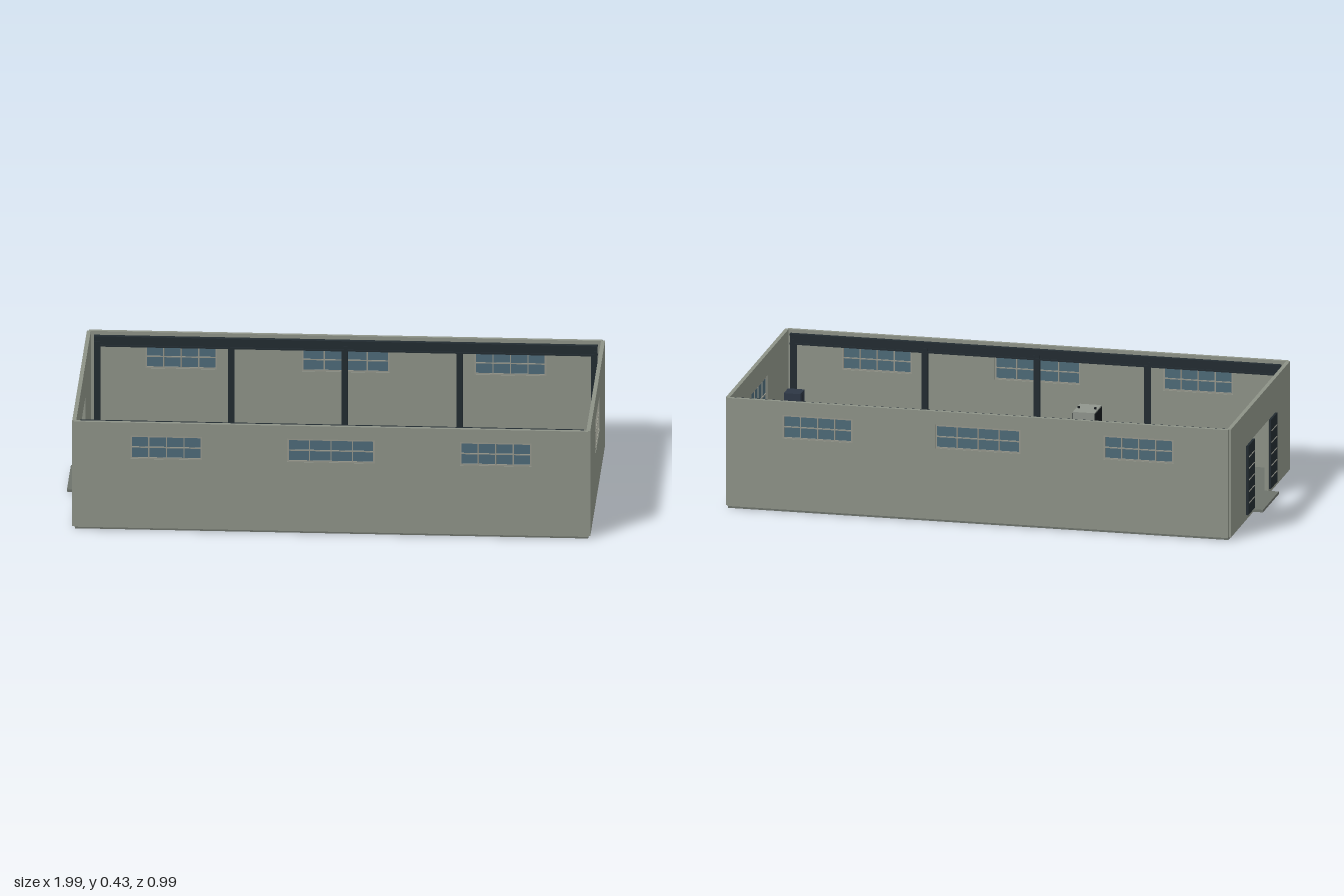
import * as THREE from 'three';

const mat = (name, color, side = THREE.FrontSide) => {
  const m = new THREE.MeshStandardMaterial({ color, side });
  m.name = name;
  return m;
};

export function createModel() {
  const wallGrey = mat('wall grey', 0x8d9287);
  const floorGrey = mat('floor grey', 0x6d726b);
  const frameGrey = mat('frame grey', 0x96978c);
  const glass = mat('window glass', 0x4d6a78);
  const steel = mat('dark steel', 0x222b31);
  const navy = mat('navy locker', 0x2d3745);
  const cabinetGrey = mat('cabinet grey', 0x90958d);
  const black = mat('black detail', 0x15191c);

  const model = new THREE.Group();
  model.name = 'workshop';

  // Box given by its minimum and maximum corners
  const box = (parent, name, m, x0, x1, y0, y1, z0, z1) => {
    const mesh = new THREE.Mesh(new THREE.BoxGeometry(x1 - x0, y1 - y0, z1 - z0), m);
    mesh.position.set((x0 + x1) / 2, (y0 + y1) / 2, (z0 + z1) / 2);
    mesh.name = name;
    parent.add(mesh);
    return mesh;
  };
  const group = (name, parent = model) => {
    const g = new THREE.Group();
    g.name = name;
    parent.add(g);
    return g;
  };

  const BASE = 0.01, TOP = 0.432, THICK = 0.015;

  // Gridded window filling the opening [x0, x1, y0, y1] of a wall
  const addWindow = (wall, [x0, x1, y0, y1]) => {
    const win = group('window', wall);
    const f = 0.006, zA = 0.003, zB = 0.013;
    box(win, 'glass', glass, x0, x1, y0, y1, 0.006, 0.009);
    for (let i = 0; i <= 4; i++) {
      const x = x0 + f / 2 + ((x1 - x0 - f) * i) / 4;
      const w = i % 4 ? 0.0022 : f / 2;
      box(win, 'windowUpright', frameGrey, x - w, x + w, y0, y1, zA, zB);
    }
    for (let i = 0; i <= 2; i++) {
      const y = y0 + f / 2 + ((y1 - y0 - f) * i) / 2;
      const w = i % 2 ? 0.0022 : f / 2;
      box(win, 'windowBar', frameGrey, x0, x1, y - w, y + w, zA, zB);
    }
  };

  // Wall in its own xy plane, outer face at local z = THICK
  const addWall = (name, x0, x1, windows, door) => {
    const g = group(name);
    const s = new THREE.Shape();
    s.moveTo(x0, BASE);
    if (door) {
      s.lineTo(door[0], BASE);
      s.lineTo(door[0], door[2]);
      s.lineTo(door[1], door[2]);
      s.lineTo(door[1], BASE);
    }
    s.lineTo(x1, BASE);
    s.lineTo(x1, TOP);
    s.lineTo(x0, TOP);
    s.closePath();
    for (const [a, b, c, d] of windows) {
      const h = new THREE.Path();
      h.moveTo(a, c);
      h.lineTo(a, d);
      h.lineTo(b, d);
      h.lineTo(b, c);
      h.closePath();
      s.holes.push(h);
    }
    const geo = new THREE.ExtrudeGeometry(s, { depth: THICK, bevelEnabled: false });
    const mesh = new THREE.Mesh(geo, wallGrey);
    mesh.name = name + 'Panel';
    g.add(mesh);
    windows.forEach((w) => addWindow(g, w));
    return g;
  };

  // Floor slab
  box(model, 'floorSlab', floorGrey, -0.95, 0.983, 0, 0.011, -0.485, 0.485);

  // Long walls with three windows each, end walls with a window or a doorway
  const spans = [[-0.74, -0.47], [-0.15, 0.18], [0.5, 0.77]].map(([a, b]) => [a, b, 0.287, 0.38]);
  addWall('frontWall', -0.952, 0.982, spans).position.z = 0.48;
  const back = addWall('backWall', -0.982, 0.952, spans.map(([a, b, c, d]) => [-b, -a, c, d]));
  back.rotation.y = Math.PI;
  back.position.z = -0.48;
  const leftEnd = addWall('windowEndWall', -0.486, 0.486, [[-0.13, 0.13, 0.21, 0.347]]);
  leftEnd.rotation.y = Math.PI / 2;
  leftEnd.position.x = 0.976;
  const rightEnd = addWall('doorEndWall', -0.486, 0.486, [], [-0.13, 0.13, 0.3]);
  rightEnd.rotation.y = -Math.PI / 2;
  rightEnd.position.x = -0.945;

  // Steel columns of H section carrying a beam along both long walls
  for (const s of [-1, 1]) {
    const frame = group(s > 0 ? 'frontSteelwork' : 'backSteelwork');
    for (const x of [-0.92, -0.415, 0.012, 0.445, 0.952]) {
      const col = group('column', frame);
      col.position.set(x, 0, s * 0.461);
      box(col, 'columnWeb', steel, -0.003, 0.003, BASE, 0.4, -0.009, 0.009);
      for (const z of [-0.009, 0.009])
        box(col, 'columnFlange', steel, -0.011, 0.011, BASE, 0.4, z - 0.002, z + 0.002);
    }
    const beam = group('beam', frame);
    beam.position.z = s * 0.456;
    box(beam, 'beamWeb', steel, -0.932, 0.965, 0.385, 0.42, -0.004, 0.004);
    for (const y of [0.385, 0.42])
      box(beam, 'beamFlange', steel, -0.932, 0.965, y - 0.003, y + 0.003, -0.009, 0.009);
  }

  // Open door leaves with horizontal rails, and the doorstep
  for (const s of [-1, 1]) {
    const door = group('doorLeaf');
    door.position.z = s * 0.185;
    box(door, 'doorPanel', steel, -0.969, -0.961, 0.03, 0.3, -0.054, 0.054);
    for (let i = 1; i < 6; i++) {
      const y = 0.03 + i * 0.045;
      box(door, 'doorRail', frameGrey, -0.971, -0.969, y - 0.0015, y + 0.0015, -0.044, 0.044);
    }
  }
  box(model, 'doorstep', floorGrey, -1, -0.945, 0.013, 0.023, -0.13, 0.13);

  // Wall boards and the locker at the window end
  box(model, 'wallBoard', steel, 0.964, 0.976, 0.073, 0.16, 0.235, 0.36);
  box(model, 'wallBoard', steel, 0.964, 0.976, 0.073, 0.16, -0.37, -0.24);
  const locker = group('locker');
  box(locker, 'lockerBody', navy, 0.903, 0.967, BASE, 0.215, 0.362, 0.43);
  box(locker, 'lockerSeam', black, 0.901, 0.903, 0.02, 0.205, 0.395, 0.397);
  box(locker, 'lockerHandle', black, 0.899, 0.903, 0.1, 0.13, 0.402, 0.406);

  // Control cabinet with its door facing the back wall
  const cab = group('controlCabinet');
  cab.position.set(-0.24, 0, 0.213);
  box(cab, 'cabinetPlinth', black, -0.043, 0.043, BASE, 0.025, -0.058, 0.058);
  box(cab, 'cabinetBody', cabinetGrey, -0.042, 0.042, 0.025, 0.275, -0.058, 0.058);
  for (const s of [-1, 1]) {
    box(cab, 'sidePanel', black, s * 0.0435 - 0.0015, s * 0.0435 + 0.0015, 0.03, 0.27, -0.055, 0.055);
    const bolt = new THREE.Mesh(new THREE.CylinderGeometry(0.005, 0.005, 0.006, 8), black);
    bolt.position.set(s * 0.032, 0.278, 0);
    bolt.name = 'liftingBolt';
    cab.add(bolt);
  }
  box(cab, 'display', black, -0.02, 0.02, 0.215, 0.24, -0.06, -0.058);
  for (let i = -1; i <= 1; i++)
    box(cab, 'button', black, i * 0.016 - 0.004, i * 0.016 + 0.004, 0.188, 0.196, -0.061, -0.058);
  box(cab, 'cabinetHandle', black, 0.03, 0.034, 0.12, 0.16, -0.063, -0.058);
  const hood = new THREE.Mesh(new THREE.CylinderGeometry(0.03, 0.03, 0.02, 20), cabinetGrey);
  hood.scale.z = 0.45;
  hood.position.set(0, 0.1, -0.058);
  hood.name = 'ventHood';
  cab.add(hood);

  return model;
}
